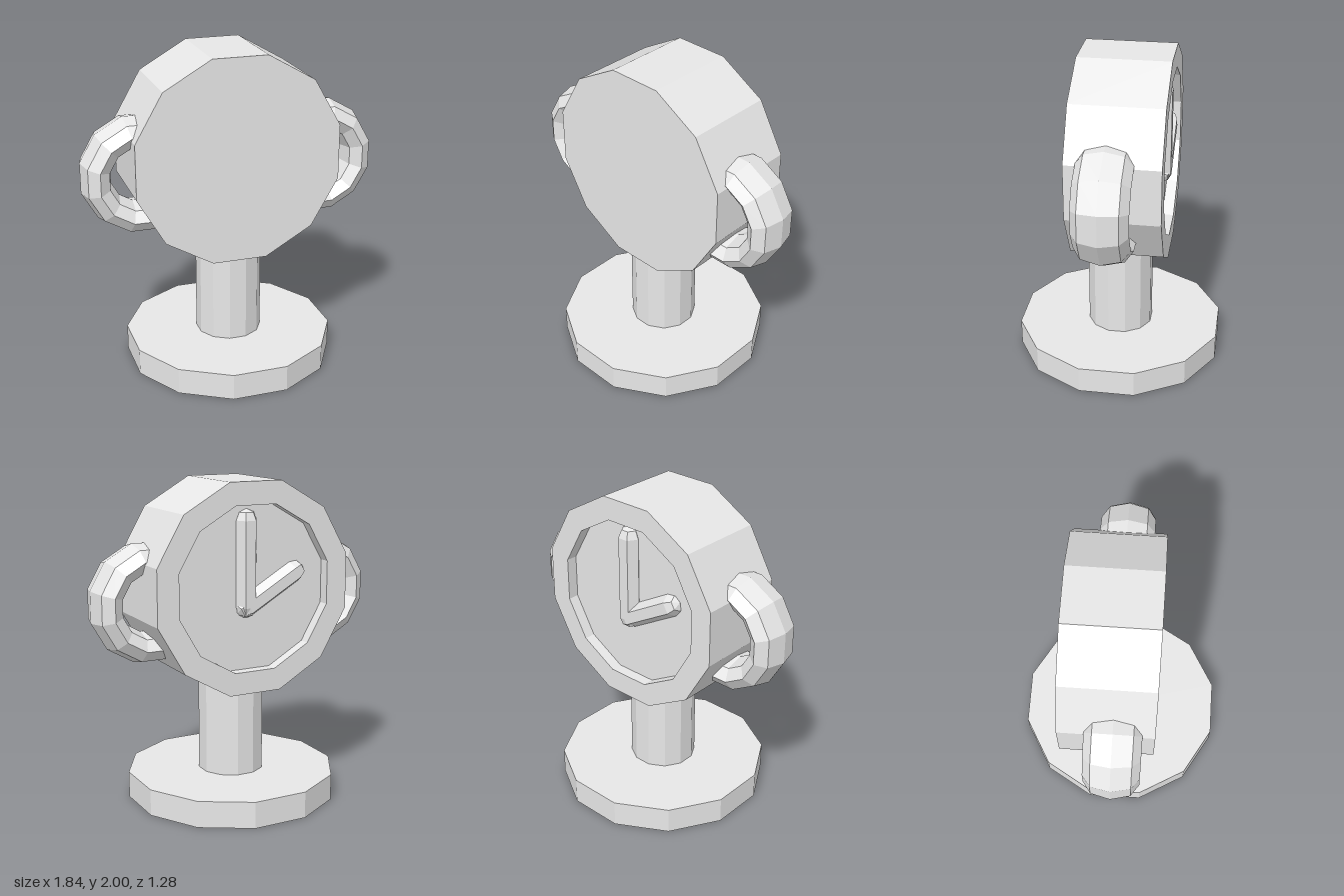
import * as THREE from 'three';

export function createModel() {
  const model = new THREE.Group();
  const grey = new THREE.MeshStandardMaterial({ color: 0xe7e7e7, flatShading: true });
  grey.name = 'light grey';
  const SIDES = 12;
  const TURN = Math.PI / SIDES; // puts a flat side at the top, bottom, left and right

  const add = (name, geometry, x = 0, y = 0, z = 0) => {
    const mesh = new THREE.Mesh(geometry, grey);
    mesh.name = name;
    mesh.position.set(x, y, z);
    model.add(mesh);
    return mesh;
  };
  const drum = (r, h) => new THREE.CylinderGeometry(r, r, h, SIDES, 1, false, TURN);

  // Foot and post
  add('base', drum(0.66, 0.165), 0, 0.0825, 0);
  add('post', drum(0.207, 0.7), 0, 0.5, 0);

  // Clock case: closed front, recessed dial at the back
  const profile = [
    [0, -0.237], [0.66, -0.237], [0.66, 0.32],
    [0.517, 0.32], [0.517, 0.25], [0, 0.25],
  ].map(([r, h]) => new THREE.Vector2(r, h));
  const caseGeometry = new THREE.LatheGeometry(profile, SIDES, TURN);
  caseGeometry.rotateX(-Math.PI / 2);
  add('clockCase', caseGeometry, 0, 1.363, 0);

  // Ring handles on both sides, wider along z
  for (const side of [1, -1]) {
    const ring = new THREE.TorusGeometry(0.275, 0.095, 8, SIDES);
    ring.rotateZ(TURN);
    ring.scale(1, 1, 1.737);
    add(side > 0 ? 'leftHandle' : 'rightHandle', ring, side * 0.563, 1.283, 0);
  }

  // Clock hands: faceted capsules meeting at a pivot and half sunk in the dial
  const hand = (name, length, angle) => {
    const r = 0.068;
    const g = new THREE.CapsuleGeometry(r, length, 2, 6);
    g.translate(0, length / 2, 0);
    g.rotateZ(angle);
    add(name, g, 0.03, 1.25, -0.255);
  };
  hand('minuteHand', 0.52, 0);
  hand('hourHand', 0.38, Math.PI / 3);

  return model;
}
